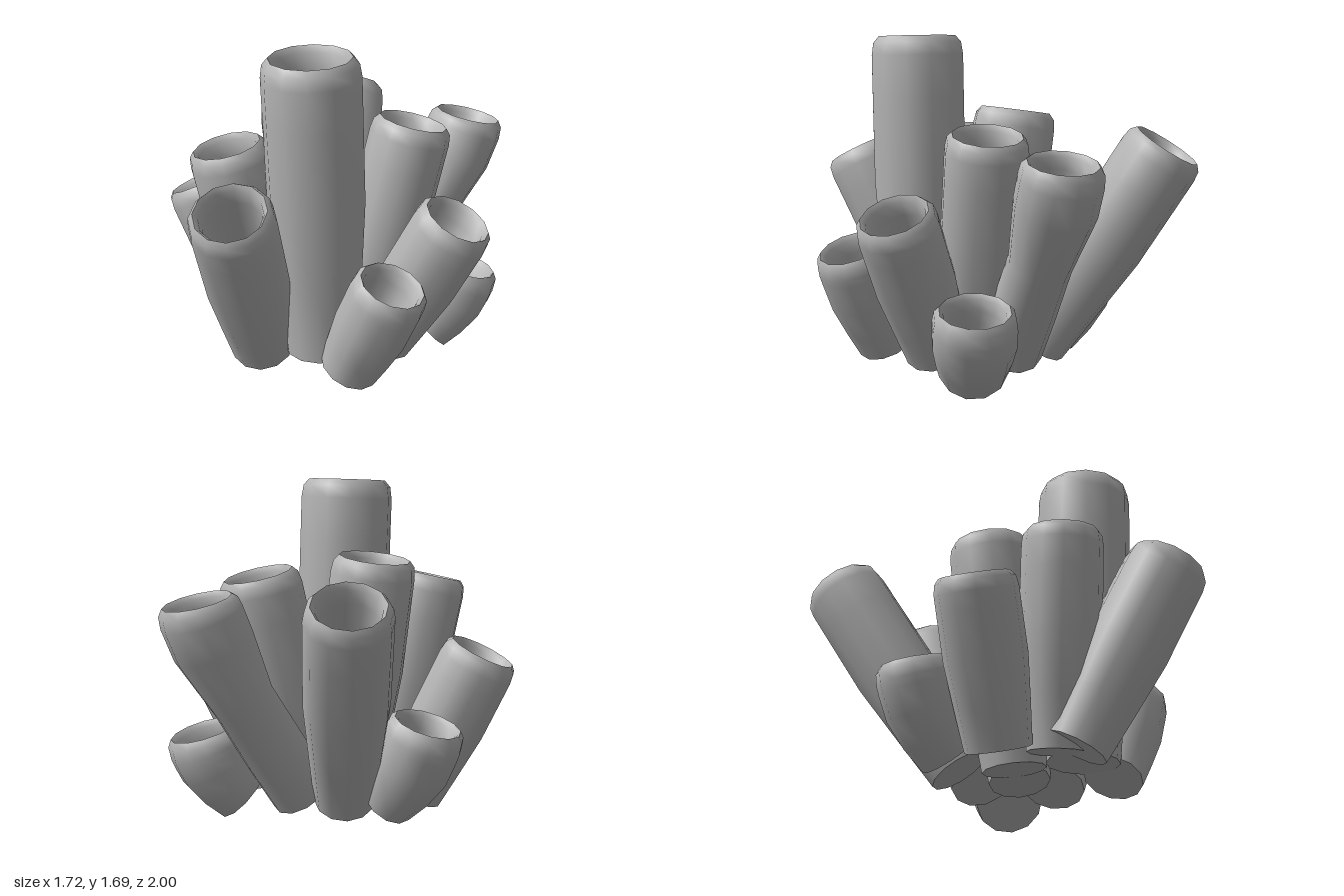
import * as THREE from 'three';
import { toCreasedNormals } from 'three/addons/utils/BufferGeometryUtils.js';

// Each tube: base centre, rim centre, widest radius, foot and middle radius as
// shares of it, and an optional bend point that curves the axis
const TUBES = [
  { name: 'backRightTube', base: [-0.14, 0.1, -0.26], top: [-0.425, 1.125, -0.835], r: 0.205, foot: 0.74 },
  { name: 'backLeftTube', base: [0.09, 0.12, -0.27], bend: [0.33, 0.82, -0.73], top: [0.368, 1.105, -0.79], r: 0.198, foot: 0.82, middle: 0.78 },
  { name: 'shortBackTube', base: [0.41, 0.095, -0.3], bend: [0.515, 0.22, -0.395], top: [0.555, 0.415, -0.435], r: 0.203, foot: 0.84 },
  { name: 'innerLeftTube', base: [0.15, 0.1, -0.09], top: [0.31, 1.195, -0.305], r: 0.205, foot: 0.75 },
  { name: 'leftTube', base: [0.33, 0.11, 0.0], top: [0.705, 0.84, -0.07], r: 0.2, foot: 0.8 },
  { name: 'frontLeftTube', base: [0.345, 0.105, 0.33], bend: [0.49, 0.38, 0.34], top: [0.588, 0.62, 0.34], r: 0.19, foot: 0.8 },
  { name: 'tallTube', base: [0.14, 0.13, 0.27], top: [0.115, 1.65, 0.325], r: 0.238, foot: 0.77 },
  { name: 'frontRightTube', base: [-0.13, 0.1, 0.28], top: [-0.315, 1.16, 0.42], r: 0.2, foot: 0.75 },
  { name: 'rightTube', base: [-0.355, 0.08, 0.09], top: [-0.7, 0.81, 0.16], r: 0.198, foot: 0.8 },
  { name: 'shortRightTube', base: [-0.34, 0.105, -0.19], bend: [-0.49, 0.26, -0.24], top: [-0.57, 0.51, -0.25], r: 0.195, foot: 0.75 },
  { name: 'innerRightTube', base: [-0.04, 0.09, -0.01], top: [-0.21, 1.275, -0.06], r: 0.21, foot: 0.75 },
  { name: 'frontTube', base: [-0.15, 0.1, 0.38], top: [0.02, 1.035, 0.835], r: 0.207, foot: 0.78 },
];

// Hollow tube swept along its axis: closed foot, swelling wall, rounded lip, deep bore
function tubeGeometry({ base, bend, top, r, foot, middle = 1 }) {
  const start = new THREE.Vector3(...base);
  const end = new THREE.Vector3(...top);
  const control = bend ? new THREE.Vector3(...bend) : start.clone().lerp(end, 0.5);
  const axis = new THREE.QuadraticBezierCurve3(start, control, end);
  const length = axis.getLength();
  const lip = (share) => 1 - (share * r) / length;

  // Radius share and position along the axis
  const profile = [
    [0, 0],
    [foot, 0],
    [(foot + middle) / 2, 0.25],
    [middle, 0.52],
    [1, Math.min(0.8, lip(0.6))],
    [1, lip(0.4)],
    [0.96, lip(0.14)],
    [0.84, 1],
    [0.74, lip(0.14)],
    [0.7, lip(0.5)],
    [middle * 0.66, 0.5],
    [0.5, 0.14],
    [0, 0.14],
  ].map(([x, y]) => new THREE.Vector2(x * r, y));

  const geometry = new THREE.LatheGeometry(profile, 12);
  const position = geometry.attributes.position;
  const up = new THREE.Vector3(0, 1, 0);
  const turn = new THREE.Quaternion();
  const point = new THREE.Vector3();
  for (let i = 0; i < position.count; i++) {
    const t = position.getY(i);
    turn.setFromUnitVectors(up, axis.getTangentAt(t));
    point.set(position.getX(i), 0, position.getZ(i)).applyQuaternion(turn).add(axis.getPointAt(t));
    position.setXYZ(i, point.x, point.y, point.z);
  }
  return toCreasedNormals(geometry, 1);
}

export function createModel() {
  const model = new THREE.Group();
  model.name = 'tubeCluster';
  const grey = new THREE.MeshStandardMaterial({ color: 0xb4b4b4 });
  grey.name = 'grey';

  for (const spec of TUBES) {
    const tube = new THREE.Mesh(tubeGeometry(spec), grey);
    tube.name = spec.name;
    model.add(tube);
  }

  // Rest the lowest foot on the ground
  const lowest = new THREE.Box3().setFromObject(model, true).min.y;
  for (const tube of model.children) tube.position.y -= lowest;
  return model;
}
